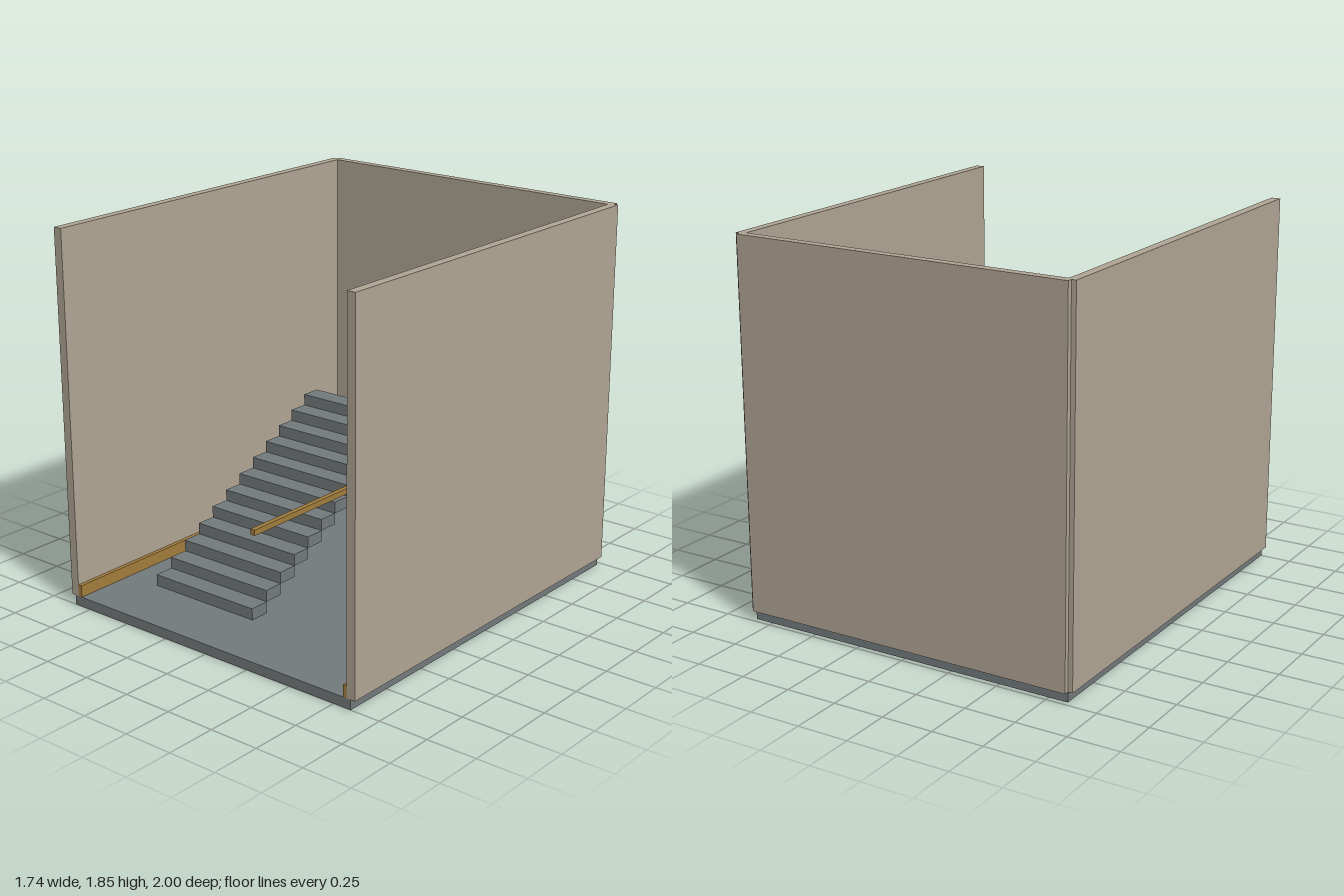
import * as THREE from 'three';

export function createModel() {
  const model = new THREE.Group();
  model.name = 'stairRoom';

  const material = (name, color) => {
    const m = new THREE.MeshStandardMaterial({ color });
    m.name = name;
    return m;
  };
  const plaster = material('warmPlaster', 0xb0a593);
  const slate = material('slateGrey', 0x737a7c);
  const wood = material('wood', 0xa27d3c);

  // Box given by its extents along each axis
  const box = (name, mat, [x0, x1], [y0, y1], [z0, z1], parent = model) => {
    const mesh = new THREE.Mesh(new THREE.BoxGeometry(x1 - x0, y1 - y0, z1 - z0), mat);
    mesh.name = name;
    mesh.position.set((x0 + x1) / 2, (y0 + y1) / 2, (z0 + z1) / 2);
    parent.add(mesh);
    return mesh;
  };

  // Floor slab and back wall
  box('floor', slate, [-0.845, 0.845], [0, 0.049], [-0.975, 1]);
  box('backWall', plaster, [-0.845, 0.845], [0.049, 1.85], [-1, -0.956]);
  box('backBaseboard', wood, [-0.823, 0.823], [0.049, 0.108], [-0.956, -0.935]);

  // Side walls with their baseboards
  for (const [side, s] of [['left', 1], ['right', -1]]) {
    const span = (a, b) => (s > 0 ? [a, b] : [-b, -a]);
    box(side + 'Wall', plaster, span(0.823, 0.868), [0.049, 1.85], [-0.975, 1]);
    box(side + 'Baseboard', wood, span(0.803, 0.823), [0.049, 0.108], [-0.956, 1]);
  }

  // Open flight of stacked treads, rising towards the back
  const stairs = new THREE.Group();
  stairs.name = 'stairs';
  model.add(stairs);
  const count = 12, rise = 0.0571, run = 0.101;
  for (let i = 0; i < count; i++) {
    const y = 0.049 + i * rise;
    const front = 0.676 - i * run;
    box('tread' + (i + 1), slate, [-0.62, -0.003], [y, y + rise], [front - run, front], stairs);
  }

  // Landing and level handrail beside the stairs
  box('landing', slate, [-0.24, 0.8], [0.714, 0.764], [-0.89, -0.332]);
  box('handrail', wood, [0.029, 0.054], [0.5, 0.528], [-0.57, 0.714]);

  return model;
}
